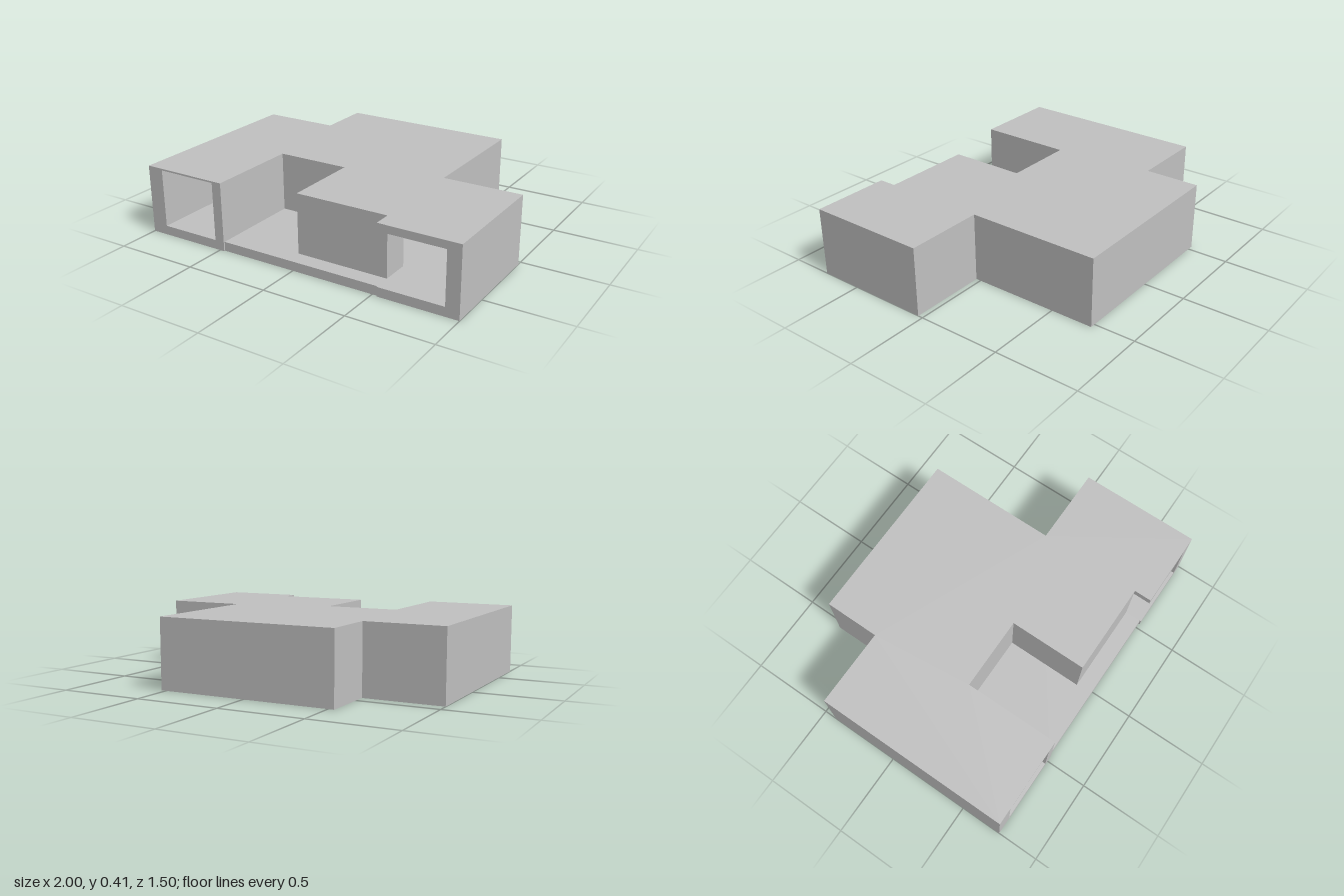
import * as THREE from 'three';

const FLOOR = 0.055, CEILING = 0.4, TOP = 0.41;

export function createModel() {
  const house = new THREE.Group();
  house.name = 'house';
  const grey = new THREE.MeshStandardMaterial({ color: 0xc0c0c0 });
  grey.name = 'plain grey';

  // Horizontal slab from plan corners [x, z]
  function slab(name, plan, y0, y1) {
    const shape = new THREE.Shape(plan.map(([x, z]) => new THREE.Vector2(x, -z)));
    const geo = new THREE.ExtrudeGeometry(shape, { depth: y1 - y0, bevelEnabled: false });
    geo.rotateX(-Math.PI / 2);
    geo.translate(0, y0, 0);
    const mesh = new THREE.Mesh(geo, grey);
    mesh.name = name;
    house.add(mesh);
  }

  // Upright block over a plan rectangle
  function wall(name, x0, x1, z0, z1, y0 = FLOOR, y1 = CEILING) {
    const mesh = new THREE.Mesh(new THREE.BoxGeometry(x1 - x0, y1 - y0, z1 - z0), grey);
    mesh.position.set((x0 + x1) / 2, (y0 + y1) / 2, (z0 + z1) / 2);
    mesh.name = name;
    house.add(mesh);
  }

  // Shared stepped outline of the sides and back
  const back = [[1, 0.75], [1, 0.03], [0.53, 0.03], [0.53, -0.755],
    [-0.535, -0.755], [-0.535, -0.425], [-1, -0.425], [-1, 0.75]];

  slab('floor', [...back, [-0.47, 0.75], [-0.47, 0.742], [0.53, 0.742], [0.53, 0.75]], 0, FLOOR);
  // Roof leaves the front courtyard open
  slab('roof', [...back, [-0.47, 0.75], [-0.47, 0.18], [-0.03, 0.18],
    [-0.03, 0.645], [0.53, 0.645], [0.53, 0.75]], CEILING, TOP);

  // Wing on the -x side, open at the front
  wall('sideWingOuterWall', -1, -0.9, -0.425, 0.75);
  wall('sideWingBackWall', -0.9, -0.475, -0.425, -0.365);
  wall('sideWingPartition', -0.53, -0.47, 0.12, 0.75);

  // Central block
  wall('centreBackWall', -0.535, 0.53, -0.755, -0.695);
  wall('centreSideWall', -0.535, -0.475, -0.695, -0.425);
  wall('centreSideWall', 0.47, 0.53, -0.695, 0.03);

  // Walls around the courtyard
  wall('courtyardBackWall', -0.47, -0.03, 0.12, 0.18);
  wall('courtyardSideWall', -0.03, 0.03, 0.12, 0.475);
  wall('centreFrontWall', -0.03, 0.53, 0.475, 0.645);

  // Wing on the +x side, open at the front corner
  wall('porchOuterWall', 0.92, 1, 0.03, 0.75);
  wall('porchBackWall', 0.47, 0.92, 0.03, 0.09);
  wall('porchCeiling', 0.53, 0.92, 0.09, 0.75, 0.365, CEILING);

  return house;
}
